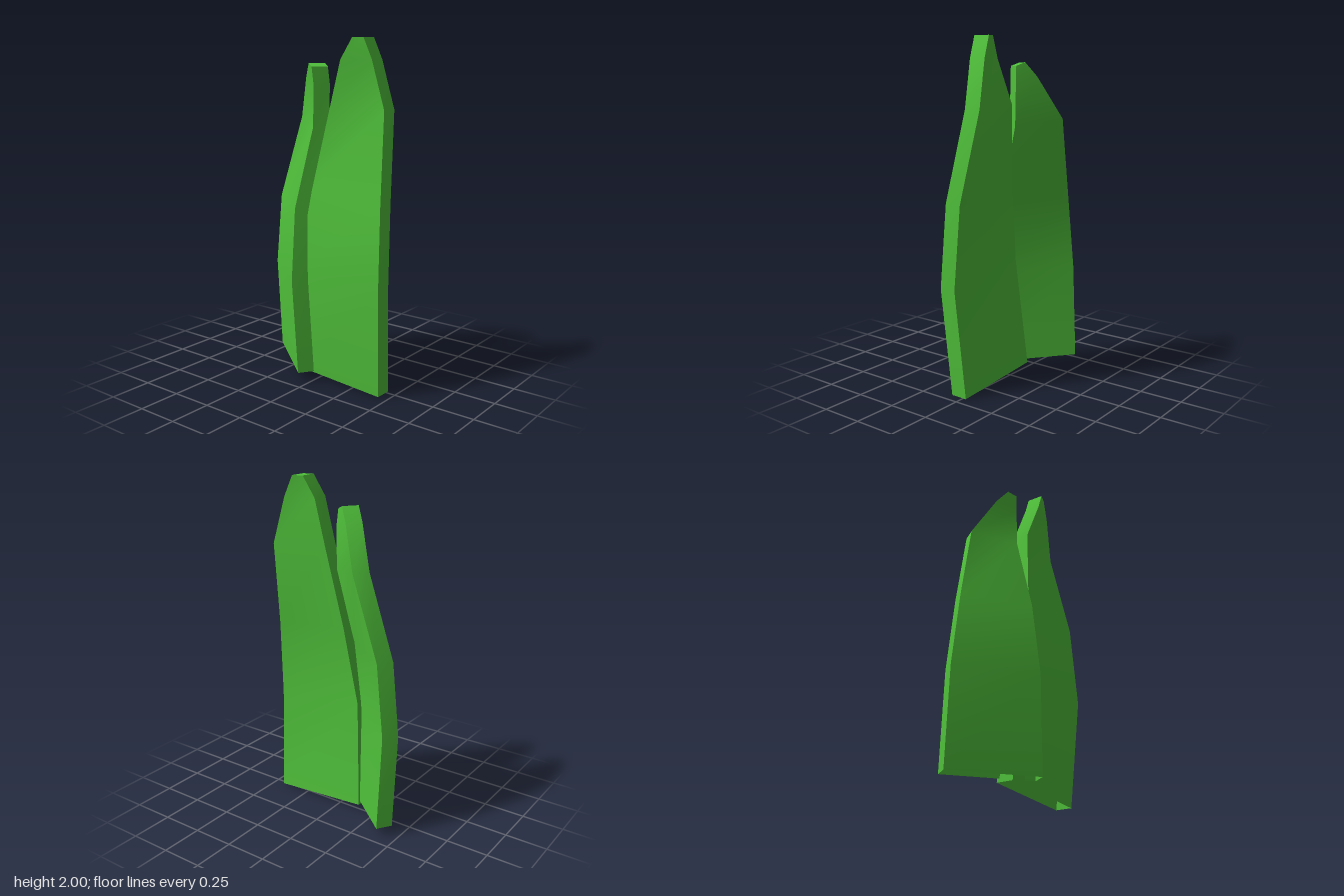
import * as THREE from 'three';
import { toCreasedNormals } from 'three/addons/utils/BufferGeometryUtils.js';

const material = new THREE.MeshStandardMaterial({ color: 0x4fbf3a, side: THREE.DoubleSide });

// Lofts a four-sided blade from bottom to top, open at the base.
// Each row holds two edge points [x, y, z, x, y, z]; thickness [dx, dz] makes the other side.
function blade(name, rows, [dx, dz]) {
  const positions = [];
  const index = [];
  for (const [ax, ay, az, bx, by, bz] of rows) {
    positions.push(
      ax, ay, az,
      ax + dx, ay, az + dz,
      bx + dx, by, bz + dz,
      bx, by, bz
    );
  }
  for (let r = 0; r < rows.length - 1; r++) {
    for (let i = 0; i < 4; i++) {
      const a = r * 4 + i, b = r * 4 + (i + 1) % 4;
      index.push(a, b, b + 4, a, b + 4, a + 4);
    }
  }
  const t = (rows.length - 1) * 4; // tip cap
  index.push(t, t + 1, t + 2, t, t + 2, t + 3);

  const geometry = new THREE.BufferGeometry();
  geometry.setAttribute('position', new THREE.Float32BufferAttribute(positions, 3));
  geometry.setIndex(index);
  const mesh = new THREE.Mesh(toCreasedNormals(geometry, 0.7), material);
  mesh.name = name;
  return mesh;
}

export function createModel() {
  const group = new THREE.Group();
  group.name = 'grassBlades';

  // Tall front blade: front edge, then back edge
  group.add(blade('tallBlade', [
    [-0.08, 0.00, 0.44, -0.08, 0.04, -0.15],
    [-0.133, 0.62, 0.465, -0.133, 0.68, -0.10],
    [-0.10, 1.10, 0.45, -0.10, 1.15, -0.02],
    [0.00, 1.61, 0.40, -0.04, 1.63, 0.065],
    [-0.02, 1.88, 0.33, -0.07, 1.88, 0.155],
    [-0.03, 2.00, 0.28, -0.05, 2.00, 0.22],
  ], [0.1, 0]));

  // Shorter back blade, turned in plan: inner edge, then outer edge
  group.add(blade('shortBlade', [
    [-0.20, 0.06, -0.05, 0.13, 0.06, -0.455],
    [-0.215, 0.62, -0.08, 0.10, 0.62, -0.465],
    [-0.17, 1.04, -0.09, 0.09, 1.05, -0.415],
    [-0.045, 1.50, -0.055, 0.13, 1.54, -0.28],
    [-0.04, 1.74, -0.055, 0.03, 1.78, -0.165],
    [-0.045, 1.84, -0.065, -0.015, 1.86, -0.11],
  ], [0.08, 0.055]));

  return group;
}
